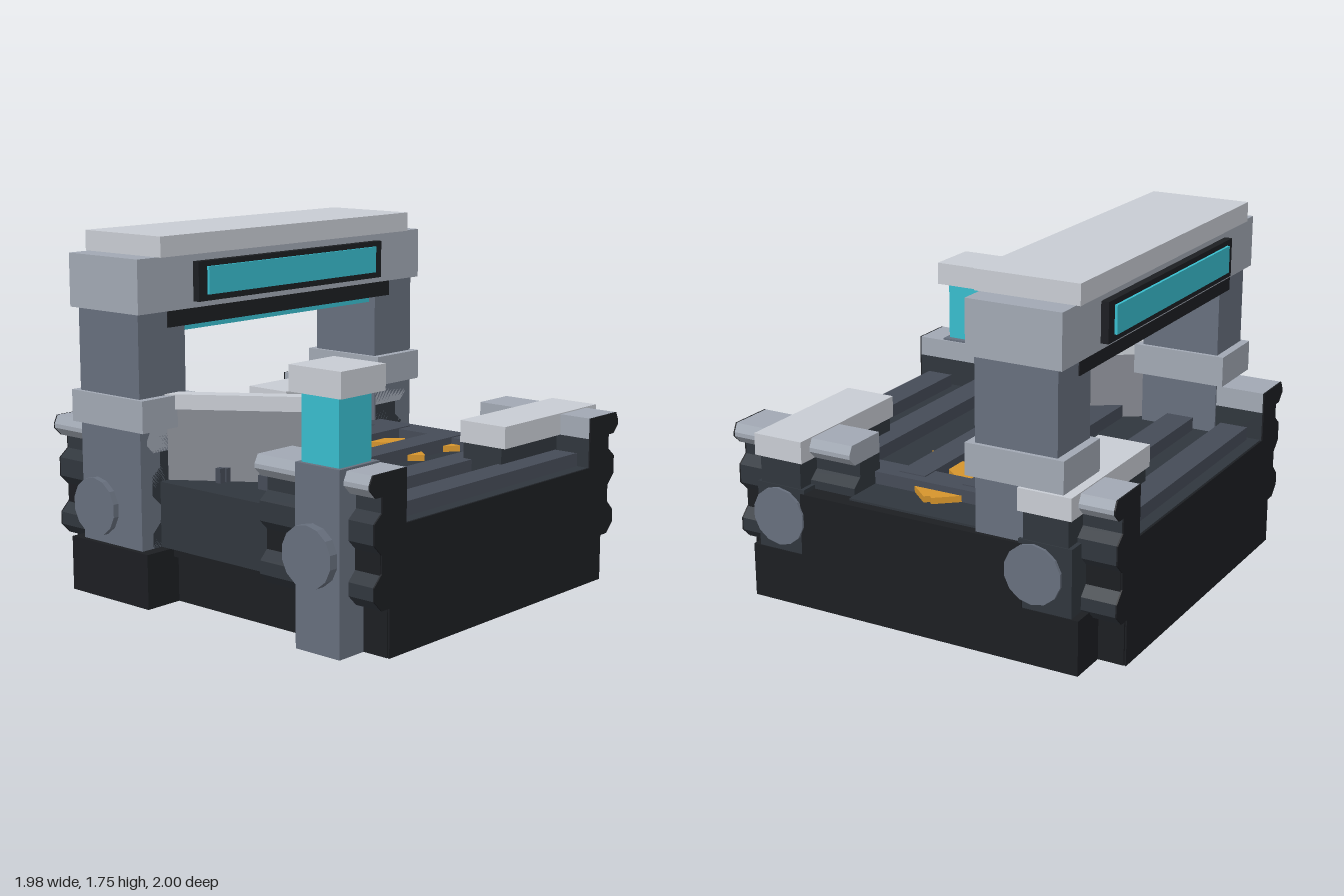
import * as THREE from 'three';

const mat = (color) => new THREE.MeshStandardMaterial({ color, flatShading: true });

export function createModel() {
  const group = new THREE.Group();
  const black = mat(0x1c1e22), dark = mat(0x30363d), slate = mat(0x454b57);
  const steel = mat(0x676f7d), silver = mat(0xa1a8b3), pale = mat(0xc8ccd3);
  const cyan = mat(0x38bccd), orange = mat(0xd6952c), panelGrey = mat(0x878a92);

  const add = (name, geometry, material) => {
    const mesh = new THREE.Mesh(geometry, material);
    mesh.name = name;
    group.add(mesh);
    return mesh;
  };
  // Box given by its limits on each axis
  const box = (name, material, x0, x1, y0, y1, z0, z1) => {
    const mesh = add(name, new THREE.BoxGeometry(x1 - x0, y1 - y0, z1 - z0), material);
    mesh.position.set((x0 + x1) / 2, (y0 + y1) / 2, (z0 + z1) / 2);
    return mesh;
  };
  // Extrudes a [z, y] outline along x from x0 to x1
  const alongX = (name, material, pts, x0, x1) => {
    const shape = new THREE.Shape(pts.map(([z, y]) => new THREE.Vector2(z, y)));
    const geo = new THREE.ExtrudeGeometry(shape, { depth: x1 - x0, bevelEnabled: false });
    geo.rotateY(-Math.PI / 2);
    geo.translate(x1, 0, 0);
    return add(name, geo, material);
  };
  const flip = (pts) => pts.map(([z, y]) => [-z, y]).reverse();

  // Base and floor
  box('base', black, -0.98, 0.98, 0.04, 0.6, -0.8, 0.8);
  box('floor', dark, -0.98, 0.98, 0.59, 0.61, -0.8, 0.8);
  box('frontPanel', dark, -0.34, 0.34, 0.3, 0.61, 0.78, 0.85);
  box('frontSill', black, -0.34, 0.34, 0.26, 0.3, 0.78, 0.83);
  box('rearPanel', black, -0.855, 0.855, 0.04, 0.3, -0.99, -0.78);
  box('rearPanelUpper', black, -0.58, 0.58, 0.3, 0.6, -0.99, -0.78);
  box('rearLedge', dark, -0.34, 0.34, 0.59, 0.61, -0.94, -0.78);
  box('gateFoot', black, -0.8, -0.28, 0.04, 0.3, 0.78, 0.995);

  // Ribbed end walls, their caps, and the solid side plates
  const rib = [[0.8, 0.26], [0.85, 0.26], [0.9, 0.31], [0.9, 0.37], [0.85, 0.42], [0.85, 0.5],
    [0.9, 0.55], [0.9, 0.64], [0.85, 0.68], [0.85, 0.75]];
  const lip = [[0.89, 0.75], [0.93, 0.79], [0.93, 0.81], [0.91, 0.85], [0.69, 0.85]];
  const wall = [[0.69, 0.26], ...rib, [0.69, 0.75]];
  const cap = [[0.69, 0.75], ...lip];
  const half = [[0.8, 0.04], ...rib, ...lip, [0.69, 0.61]];
  const plate = [...half, ...flip(half)];
  for (const [x0, x1] of [[-0.985, -0.34], [0.34, 0.985]]) {
    for (const end of ['front', 'rear']) {
      const side = (pts) => (end === 'front' ? pts : flip(pts));
      const s = end === 'front' ? 1 : -1;
      alongX(end + 'Wall', dark, side(wall), x0, x1);
      alongX(end + 'WallCap', silver, side(cap), x0, x1);
      const za = s * 0.8, zb = s * 0.856;
      box(end + 'Groove', black, x0, x1, 0.41, 0.51, Math.min(za, zb), Math.max(za, zb));
    }
  }
  alongX('sidePlate', black, plate, 0.985, 0.992);
  alongX('sidePlate', black, plate, -0.992, -0.985);

  // Raised floor slats and cross bar
  for (const s of [-1, 1]) {
    for (const [c, top] of [[0.17, 0.675], [0.56, 0.675], [0.85, 0.675]]) {
      box('floorSlat', slate, s * c - 0.07, s * c + 0.07, 0.61, top, -0.68, 0.66);
    }
  }
  box('crossBar', slate, -0.92, 0.92, 0.61, 0.67, -0.73, -0.59);
  box('floorPeg', slate, -0.13, -0.1, 0.61, 0.68, 0.67, 0.7);

  // Orange chevrons set on the floor, pointing to the rear
  for (const shift of [0, -0.28]) {
    const shape = new THREE.Shape([[0, 0.52], [0.02, 0.54], [0.3, 0.3], [0.24, 0.24], [0, 0.42],
      [-0.24, 0.24], [-0.3, 0.3], [-0.02, 0.54]].map(([x, y]) => new THREE.Vector2(x, y)));
    const geo = new THREE.ExtrudeGeometry(shape, { depth: 0.03, bevelEnabled: false });
    geo.rotateX(-Math.PI / 2);
    add('chevron', geo, orange).position.set(0, 0.61, shift);
  }

  // Rails under the base
  for (const x of [-0.62, 0, 0.62]) box('bottomRail', steel, x - 0.1, x + 0.1, 0, 0.05, -0.71, 0.71);
  box('bottomCrossRail', steel, -0.93, 0.93, 0.012, 0.05, -0.1, 0.1);

  // Gantry: two legs with collars and a deep top beam
  for (const s of [-1, 1]) {
    const span = (a, b) => (s > 0 ? [a, b] : [-b, -a]);
    box('gantryLeg', steel, -0.74, -0.34, 0.3, 1.4, ...span(0.68, 0.97));
    box('gantryCollar', silver, -0.78, -0.3, 0.86, 1.01, ...span(0.66, 0.99));
  }
  box('gantryBeam', silver, -0.77, -0.31, 1.4, 1.65, -0.995, 0.995);
  box('gantryCap', pale, -0.79, -0.285, 1.65, 1.745, -0.875, 0.875);
  box('lampHousing', black, -0.745, -0.335, 1.32, 1.4, -0.79, 0.79);
  box('lampStrip', cyan, -0.7, -0.38, 1.29, 1.32, -0.68, 0.68);
  box('signFrame', black, -0.807, -0.273, 1.43, 1.615, -0.65, 0.65);
  box('signScreen', cyan, -0.82, -0.26, 1.46, 1.59, -0.595, 0.595);

  // Round bosses on the front and rear
  for (const x of [-0.635, 0.7]) {
    for (const s of [-1, 1]) {
      const geo = new THREE.CylinderGeometry(0.14, 0.14, 0.1, 14);
      geo.rotateX(Math.PI / 2);
      add('boss', geo, steel).position.set(x, 0.47, s * 0.95);
    }
  }

  // Beacon post at the front
  box('beaconPost', steel, 0.6, 0.85, 0.04, 0.86, 0.7, 0.955);
  box('beaconLight', cyan, 0.62, 0.83, 0.86, 1.16, 0.73, 0.935);
  box('beaconCap', pale, 0.58, 0.87, 1.16, 1.275, 0.685, 0.97);

  // Rear lids reaching inward over the floor, with their supports
  for (const s of [-1, 1]) {
    const [x0, x1] = s > 0 ? [0.56, 0.82] : [-0.82, -0.56];
    box('rearLid', pale, x0, x1, 0.75, 0.855, -0.995, -0.24);
    box('lidSupport', dark, x0 + 0.02, x1 - 0.02, 0.61, 0.75, -0.98, -0.24);
    box('rearPost', dark, x0, x1, 0.27, 0.62, -0.985, -0.7);
  }

  // Swing barrier hinged on the front leg
  const barrier = new THREE.Group();
  barrier.name = 'swingBarrier';
  const panel = new THREE.Mesh(new THREE.BoxGeometry(0.71, 0.34, 0.05), panelGrey);
  panel.name = 'barrierPanel';
  panel.position.set(0.355, 0.78, 0);
  const rail = new THREE.Mesh(new THREE.BoxGeometry(0.74, 0.07, 0.075), pale);
  rail.name = 'barrierRail';
  rail.position.set(0.37, 0.98, 0);
  barrier.add(panel, rail);
  barrier.position.set(-0.4, 0, 0.81);
  barrier.rotation.y = 0.605;
  group.add(barrier);

  return group;
}
